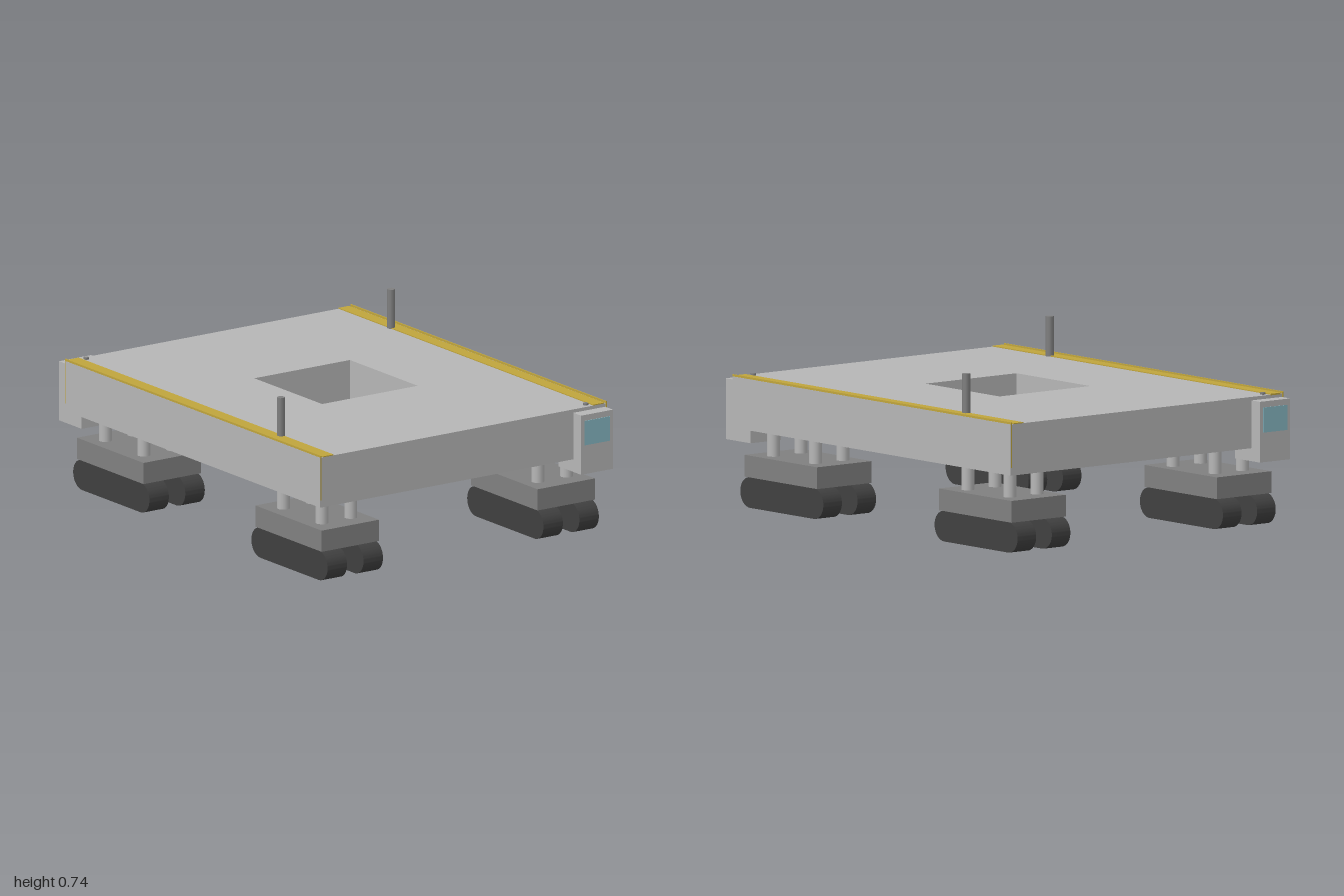
import * as THREE from 'three';
import { toCreasedNormals } from 'three/addons/utils/BufferGeometryUtils.js';

const mat = (name, color) => {
  const m = new THREE.MeshStandardMaterial({ color });
  m.name = name;
  return m;
};

export function createModel() {
  const lightGray = mat('light gray', 0xb6b6b6);
  const midGray = mat('mid gray', 0x808080);
  const darkGray = mat('dark gray', 0x404040);
  const yellow = mat('safety yellow', 0xc0a53c);
  const glass = mat('window blue', 0x87b8c3);

  const model = new THREE.Group();
  model.name = 'crawlerPlatform';

  const add = (parent, name, geometry, material, x = 0, y = 0, z = 0) => {
    const mesh = new THREE.Mesh(geometry, material);
    mesh.name = name;
    mesh.position.set(x, y, z);
    parent.add(mesh);
    return mesh;
  };
  // Box given by its minimum and maximum corners
  const box = (parent, name, material, [x0, y0, z0], [x1, y1, z1]) =>
    add(parent, name, new THREE.BoxGeometry(x1 - x0, y1 - y0, z1 - z0), material,
      (x0 + x1) / 2, (y0 + y1) / 2, (z0 + z1) / 2);
  const post = (parent, name, material, radius, sides, x, z, y0, y1) =>
    add(parent, name, new THREE.CylinderGeometry(radius, radius, y1 - y0, sides), material,
      x, (y0 + y1) / 2, z);
  const rectangle = (Type, w, h) => new Type([
    new THREE.Vector2(-w, -h), new THREE.Vector2(w, -h),
    new THREE.Vector2(w, h), new THREE.Vector2(-w, h),
  ]);

  // Deck with a square opening
  const deckShape = rectangle(THREE.Shape, 0.94, 0.75);
  deckShape.holes.push(rectangle(THREE.Path, 0.25, 0.25));
  const deckGeometry = new THREE.ExtrudeGeometry(deckShape, { depth: 0.221, bevelEnabled: false });
  deckGeometry.rotateX(-Math.PI / 2);
  add(model, 'deck', deckGeometry, lightGray, 0, 0.342, 0);

  // Rounded track outline, shared by all tracks
  const r = 0.066, half = 0.281 - r;
  const trackShape = new THREE.Shape();
  trackShape.absarc(half, 0, r, -Math.PI / 2, Math.PI / 2);
  trackShape.absarc(-half, 0, r, Math.PI / 2, Math.PI * 1.5);
  trackShape.closePath();
  const trackGeometry = toCreasedNormals(
    new THREE.ExtrudeGeometry(trackShape, { depth: 0.102, bevelEnabled: false, curveSegments: 16 }), 0.6);
  trackGeometry.translate(0, 0, -0.051);

  // Four crawler trucks, each with two tracks and four lifting legs
  for (const sx of [-1, 1]) for (const sz of [-1, 1]) {
    const truck = new THREE.Group();
    truck.name = 'crawlerTruck';
    truck.position.set(sx * 0.657, 0, sz * 0.565);
    model.add(truck);
    box(truck, 'truckBody', midGray, [-0.245, 0.132, -0.15], [0.245, 0.226, 0.15]);
    for (const side of [-1, 1]) {
      add(truck, 'track', trackGeometry, darkGray, 0, r, side * 0.094);
      for (const end of [-1, 1])
        post(truck, 'leg', lightGray, 0.028, 16, end * 0.142, side * 0.075, 0.22, 0.345);
    }
  }

  // Fittings repeated by a half turn
  for (const turn of [0, Math.PI]) {
    const side = new THREE.Group();
    side.name = turn ? 'backFittings' : 'frontFittings';
    side.rotation.y = turn;
    model.add(side);

    // Walkway stripe and edge trim
    box(side, 'walkwayStripe', yellow, [-0.94, 0.56, 0.68], [0.94, 0.567, 0.735]);
    box(side, 'edgeTrim', yellow, [-0.942, 0.375, 0.744], [0.942, 0.572, 0.749]);

    // Mast
    post(side, 'mast', midGray, 0.018, 8, 0.563, 0.688, 0.56, 0.736);

    // Corner cab with side window and small roof pin
    box(side, 'cab', lightGray, [-0.997, 0.286, 0.575], [-0.83, 0.548, 0.742]);
    box(side, 'cabWindow', glass, [-1.0, 0.414, 0.592], [-0.995, 0.522, 0.725]);
    post(side, 'cabPin', midGray, 0.011, 8, -0.912, 0.66, 0.54, 0.572);
  }

  return model;
}
